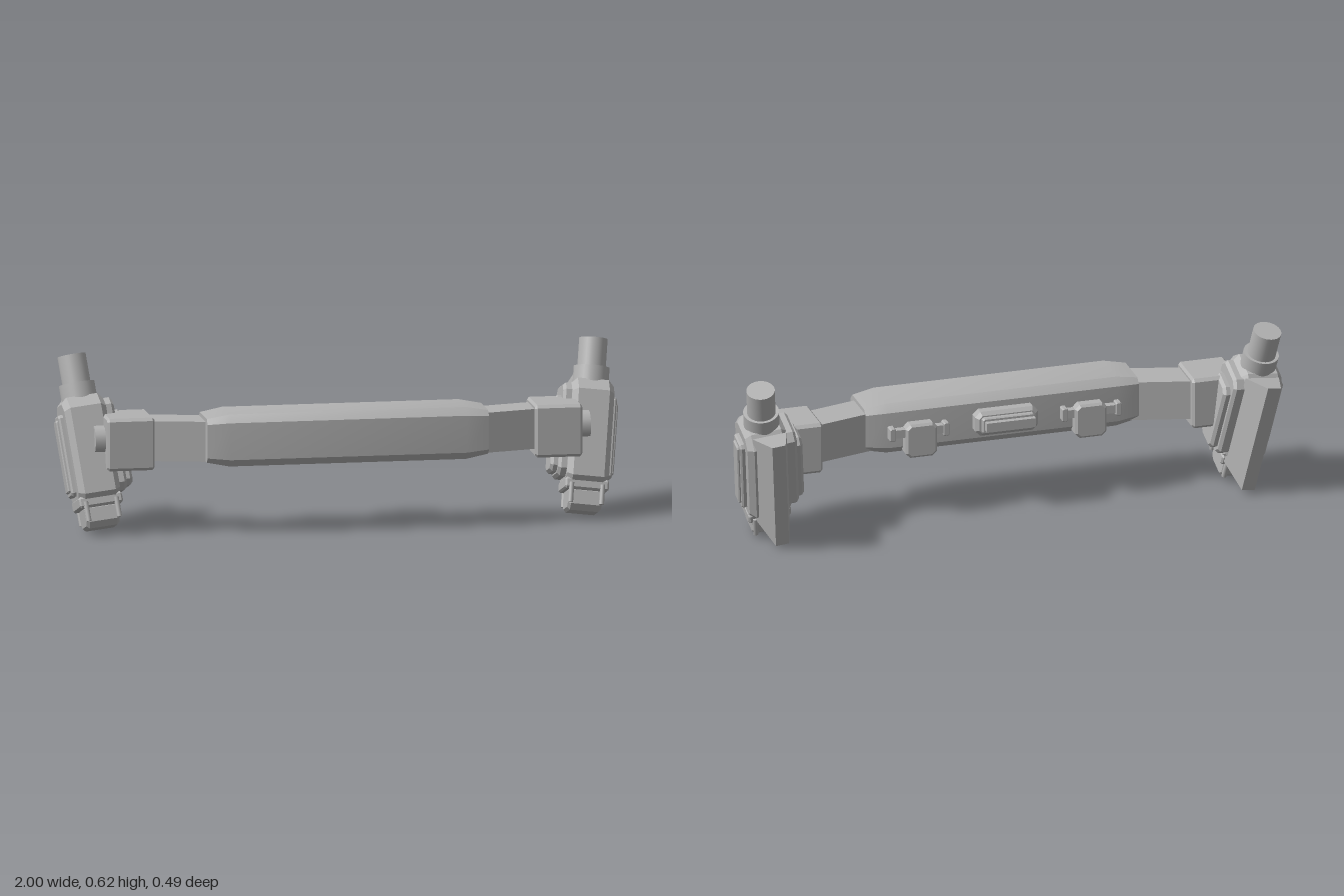
import * as THREE from 'three';
import { toCreasedNormals } from 'three/addons/utils/BufferGeometryUtils.js';

const grey = new THREE.MeshStandardMaterial({ color: 0xb2b2b2 });
grey.name = 'plain grey';

function add(parent, name, geometry, x = 0, y = 0, z = 0) {
  const mesh = new THREE.Mesh(geometry, grey);
  mesh.name = name;
  mesh.position.set(x, y, z);
  parent.add(mesh);
  return mesh;
}

// Centred slab with cut corners and bevelled faces, extruded along z.
function slab(w, h, t, corner, bevel, run = bevel) {
  const a = w / 2 - bevel, b = h / 2 - bevel, c = corner;
  const shape = new THREE.Shape([
    [-a + c, -b], [a - c, -b], [a, -b + c], [a, b - c],
    [a - c, b], [-a + c, b], [-a, b - c], [-a, -b + c],
  ].map(([x, y]) => new THREE.Vector2(x, y)));
  const depth = t - 2 * run;
  const g = new THREE.ExtrudeGeometry(shape, {
    depth, bevelEnabled: true, bevelSize: bevel, bevelThickness: run, bevelSegments: 1,
  });
  return g.translate(0, 0, -depth / 2);
}

// The same slab facing sideways: w runs along z and t along x.
const sideSlab = (...args) => slab(...args).rotateY(Math.PI / 2);

// Flared fin: a box whose rear face is taller and narrower than its front.
function finGeometry() {
  const g = new THREE.BoxGeometry(1, 1, 1);
  const p = g.attributes.position;
  for (let i = 0; i < p.count; i++) {
    const rear = p.getZ(i) < 0, up = p.getY(i) > 0;
    p.setXYZ(i, Math.sign(p.getX(i)) * (rear ? 0.024 : 0.062),
      rear ? (up ? 0.496 : 0.041) : (up ? 0.447 : 0.074), rear ? -0.1 : 0.02);
  }
  const flat = g.toNonIndexed();
  flat.computeVertexNormals();
  return flat;
}

// Tilted pod at one end of the bar; side is +1 or -1.
function makePod(side) {
  const pod = new THREE.Group();
  pod.name = side > 0 ? 'leftPod' : 'rightPod';
  pod.position.x = side * 0.855;
  pod.rotation.set(-0.305, 0, -side * 0.121);
  const mid = 0.096;

  add(pod, 'podBody', sideSlab(0.196, 0.39, 0.15, 0.03, 0.02), 0, 0.255, mid);
  add(pod, 'collar', new THREE.CylinderGeometry(0.063, 0.063, 0.08, 32), 0, 0.459, mid);
  add(pod, 'topCylinder', new THREE.CylinderGeometry(0.05, 0.05, 0.12, 32), 0, 0.54, mid - 0.003);
  add(pod, 'rearFin', finGeometry(), -side * 0.008);

  // Stepped panel on the outer face
  add(pod, 'outerPanel', sideSlab(0.088, 0.29, 0.03, 0.008, 0.006), side * 0.077, 0.25, 0.094);
  add(pod, 'outerPanelRaised', sideSlab(0.054, 0.258, 0.02, 0.004, 0.004), side * 0.09, 0.25, 0.092);

  // Stepped mount on the inner face
  add(pod, 'innerMount', sideSlab(0.16, 0.33, 0.06, 0.02, 0.01), -side * 0.075, 0.265, 0.09);
  add(pod, 'innerMountRaised', sideSlab(0.12, 0.27, 0.06, 0.015, 0.01), -side * 0.1, 0.25, 0.09);

  // Foot with its band and four prongs
  add(pod, 'footBand', sideSlab(0.155, 0.04, 0.155, 0.004, 0.006), 0, 0.075, 0.1);
  add(pod, 'foot', sideSlab(0.128, 0.09, 0.12, 0.015, 0.01), 0, 0.029, 0.095);
  for (const x of [-0.055, 0.055]) {
    for (const z of [0.022, 0.174]) {
      add(pod, 'prong', new THREE.CylinderGeometry(0.009, 0.009, 0.07, 12), x, 0.042, z);
    }
  }
  return pod;
}

export function createModel() {
  const model = new THREE.Group();
  model.name = 'crossbarWithPods';

  // Central bar, tapering slightly at both ends
  add(model, 'centralBar', toCreasedNormals(sideSlab(0.207, 0.185, 1, 0.018, 0.015, 0.08), 0.5),
    0, 0.332, 0.138);

  // Central fitting on the back of the bar
  add(model, 'rearFitting', slab(0.23, 0.09, 0.055, 0.012, 0.012), 0, 0.333, 0.014);
  add(model, 'rearFittingStep', slab(0.19, 0.058, 0.02, 0.004, 0.004), 0, 0.333, -0.02);
  add(model, 'rearFittingTongue', new THREE.BoxGeometry(0.18, 0.032, 0.04), -0.003, 0.335, -0.03);

  for (const side of [1, -1]) {
    // Clip on the back of the bar
    add(model, 'clip', slab(0.115, 0.125, 0.06, 0.012, 0.008), side * 0.31, 0.296, 0.025);
    add(model, 'clipStrap', new THREE.BoxGeometry(0.2, 0.03, 0.04), side * 0.315, 0.325, 0.028);
    for (const end of [-0.098, 0.098]) {
      add(model, 'clipTab', slab(0.022, 0.05, 0.04, 0.003, 0.003), side * 0.315 + end, 0.325, 0.023);
    }

    // Swept-back arm
    const arm = new THREE.BoxGeometry(0.24, 0.142, 0.135);
    const p = arm.attributes.position;
    for (let i = 0; i < p.count; i++) p.setZ(i, p.getZ(i) - side * p.getX(i) * 0.25);
    const flatArm = arm.toNonIndexed();
    flatArm.computeVertexNormals();
    add(model, 'arm', flatArm, side * 0.59, 0.325, 0.098);

    // Joint block and its axle
    add(model, 'jointBlock', sideSlab(0.185, 0.187, 0.168, 0.006, 0.008), side * 0.76, 0.318, 0.073);
    const axle = new THREE.CylinderGeometry(0.052, 0.052, 0.06, 12).rotateZ(Math.PI / 2);
    add(model, 'axle', axle, side * 0.85, 0.325, 0.08);

    model.add(makePod(side));
  }
  return model;
}
